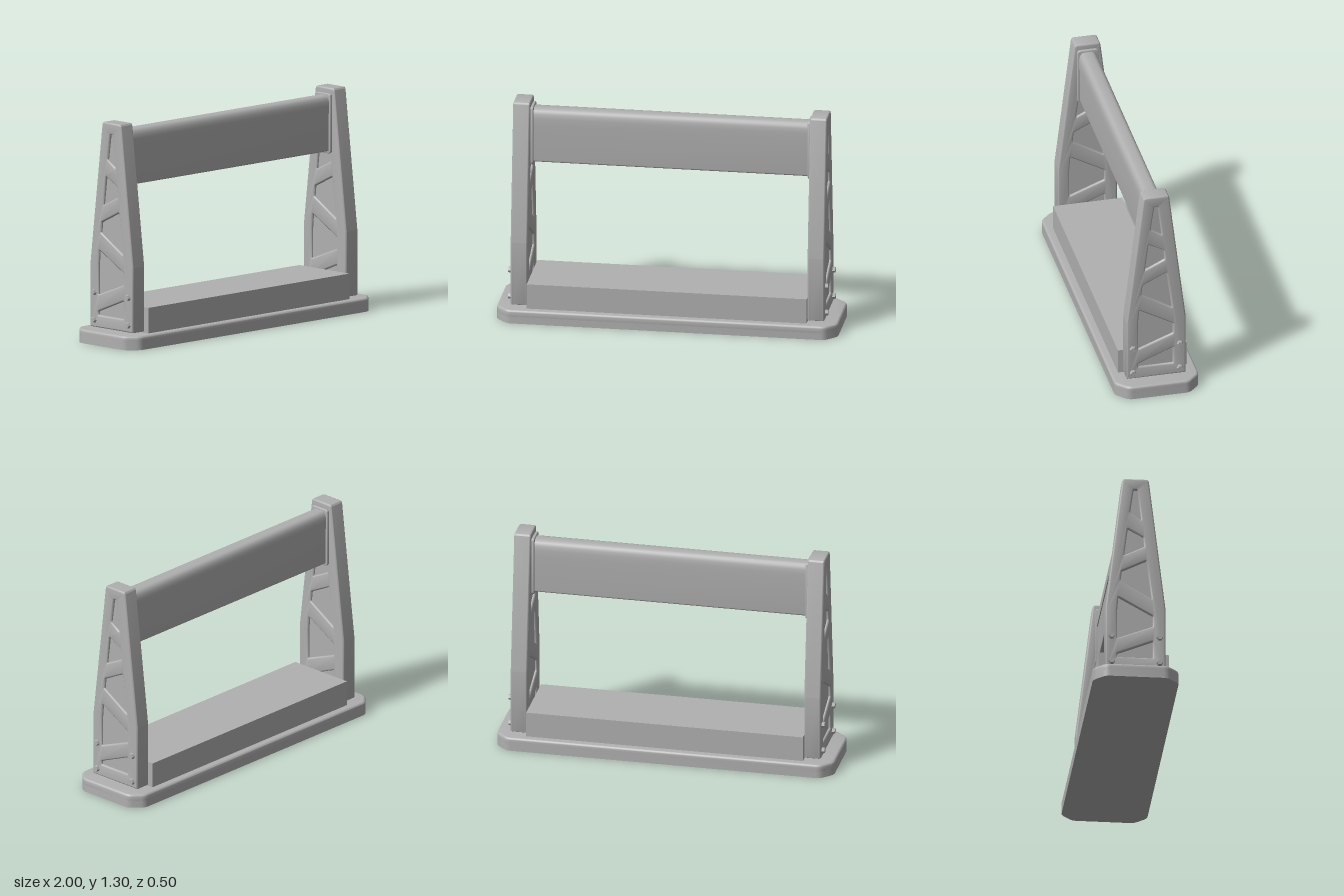
import * as THREE from 'three';
import { toCreasedNormals } from 'three/addons/utils/BufferGeometryUtils.js';

// Closed outline with each corner softened by radius r
function outline(points, r, Type = THREE.Shape) {
  const pts = points.map(([x, y]) => new THREE.Vector2(x, y));
  const shape = new Type();
  pts.forEach((p, i) => {
    const prev = pts[(i + pts.length - 1) % pts.length];
    const next = pts[(i + 1) % pts.length];
    const a = p.clone().add(prev.clone().sub(p).setLength(r));
    const b = p.clone().add(next.clone().sub(p).setLength(r));
    if (i === 0) shape.moveTo(a.x, a.y);
    else shape.lineTo(a.x, a.y);
    shape.quadraticCurveTo(p.x, p.y, b.x, b.y);
  });
  shape.closePath();
  return shape;
}

// Mirrors a half profile (listed bottom to top on +x) across x = 0
const mirrored = (half) => [...half, ...half.map(([x, y]) => [-x, y]).reverse()];

// Extrudes from depth z0 to z1, with the bevel kept inside the outline
function extrude(shape, z0, z1, bevel = 0) {
  const geo = new THREE.ExtrudeGeometry(shape, {
    depth: z1 - z0 - 2 * bevel, curveSegments: 4, bevelEnabled: bevel > 0,
    bevelThickness: bevel, bevelSize: bevel, bevelOffset: -bevel, bevelSegments: 3,
  });
  geo.translate(0, 0, z0 + bevel);
  return toCreasedNormals(geo, 0.6);
}

export function createModel() {
  const model = new THREE.Group();
  model.name = 'displayStand';
  const gray = new THREE.MeshStandardMaterial({ color: 0xb0b0b0 });
  gray.name = 'gray';

  const add = (parent, name, geo) => {
    const mesh = new THREE.Mesh(geo, gray);
    mesh.name = name;
    parent.add(mesh);
    return mesh;
  };

  // Base plate: cut corners, softened upper edge, sharp lower edge
  const baseShape = outline([
    [-0.93, -0.25], [0.93, -0.25], [1, -0.18], [1, 0.18],
    [0.93, 0.25], [-0.93, 0.25], [-1, 0.18], [-1, -0.18],
  ], 0.025);
  add(model, 'basePlate', extrude(baseShape, 0, 0.06).rotateX(-Math.PI / 2));
  add(model, 'basePlateTop', extrude(baseShape, 0.03, 0.08, 0.012).rotateX(-Math.PI / 2));

  // Plinth block between the uprights
  add(model, 'plinth', new THREE.BoxGeometry(1.64, 0.15, 0.41).translate(0, 0.155, 0));

  // Upright profile and the recessed pockets of its truss pattern
  const profile = mirrored([
    [0.176, 0.088], [0.176, 0.47], [0.078, 1.29], [0.07, 1.302],
  ]);
  const pockets = [
    [[-0.011, 1.232], [-0.032, 1.085], [0.032, 1.042], [0.009, 1.232]],
    [[-0.045, 0.982], [-0.066, 0.814], [0.05, 0.872], [0.044, 0.934]],
    [[0.061, 0.781], [-0.08, 0.71], [-0.087, 0.65], [0.093, 0.54]],
    [[-0.1, 0.543], [-0.107, 0.46], [-0.107, 0.283], [0.1, 0.364], [0.1, 0.43]],
    [[0.1, 0.268], [-0.107, 0.183], [-0.107, 0.162], [0.1, 0.162]],
  ];

  for (const side of [1, -1]) {
    const upright = new THREE.Group();
    upright.name = side > 0 ? 'leftUpright' : 'rightUpright';
    upright.position.x = 0.87;

    // Solid core, then a pocketed skin on each face
    add(upright, 'uprightCore', extrude(outline(profile, 0.006), -0.036, 0.036).rotateY(Math.PI / 2));
    for (const face of [1, -1]) {
      const skin = outline(profile, 0.006);
      skin.holes = pockets.map((p) => outline(p, 0.005, THREE.Path));
      add(upright, face > 0 ? 'outerSkin' : 'innerSkin',
        extrude(skin, 0.022, 0.05, 0.01).rotateY(face * Math.PI / 2));
    }

    // Hex bolts on the outer face
    for (const y of [0.13, 0.292]) {
      for (const z of [0.14, -0.14]) {
        const bolt = new THREE.CylinderGeometry(0.016, 0.02, 0.022, 6);
        const flat = toCreasedNormals(bolt.rotateZ(-Math.PI / 2), 0.5);
        add(upright, 'bolt', flat).position.set(0.056, y, z);
      }
    }

    // Collar where the beam meets the upright
    const collar = outline(mirrored([[0.063, 0.918], [0.063, 1.27]]), 0.02);
    add(upright, 'beamCollar', extrude(collar, -0.066, -0.048, 0.004).rotateY(Math.PI / 2));

    const half = new THREE.Group();
    half.name = side > 0 ? 'leftSide' : 'rightSide';
    half.rotation.y = side > 0 ? 0 : Math.PI;
    half.add(upright);
    model.add(half);
  }

  // Crossbeam: rounded cap with a small ledge over a plain body
  const beam = new THREE.Shape();
  beam.moveTo(-0.042, 0.932);
  beam.lineTo(0.042, 0.932);
  beam.quadraticCurveTo(0.05, 0.932, 0.05, 0.942);
  beam.lineTo(0.05, 1.155);
  beam.lineTo(0.055, 1.155);
  beam.lineTo(0.055, 1.2);
  beam.quadraticCurveTo(0.053, 1.258, 0.02, 1.258);
  beam.lineTo(-0.02, 1.258);
  beam.quadraticCurveTo(-0.053, 1.258, -0.055, 1.2);
  beam.lineTo(-0.055, 1.155);
  beam.lineTo(-0.05, 1.155);
  beam.lineTo(-0.05, 0.942);
  beam.quadraticCurveTo(-0.05, 0.932, -0.042, 0.932);
  add(model, 'crossbeam', extrude(beam, -0.81, 0.81).rotateY(Math.PI / 2));

  return model;
}
